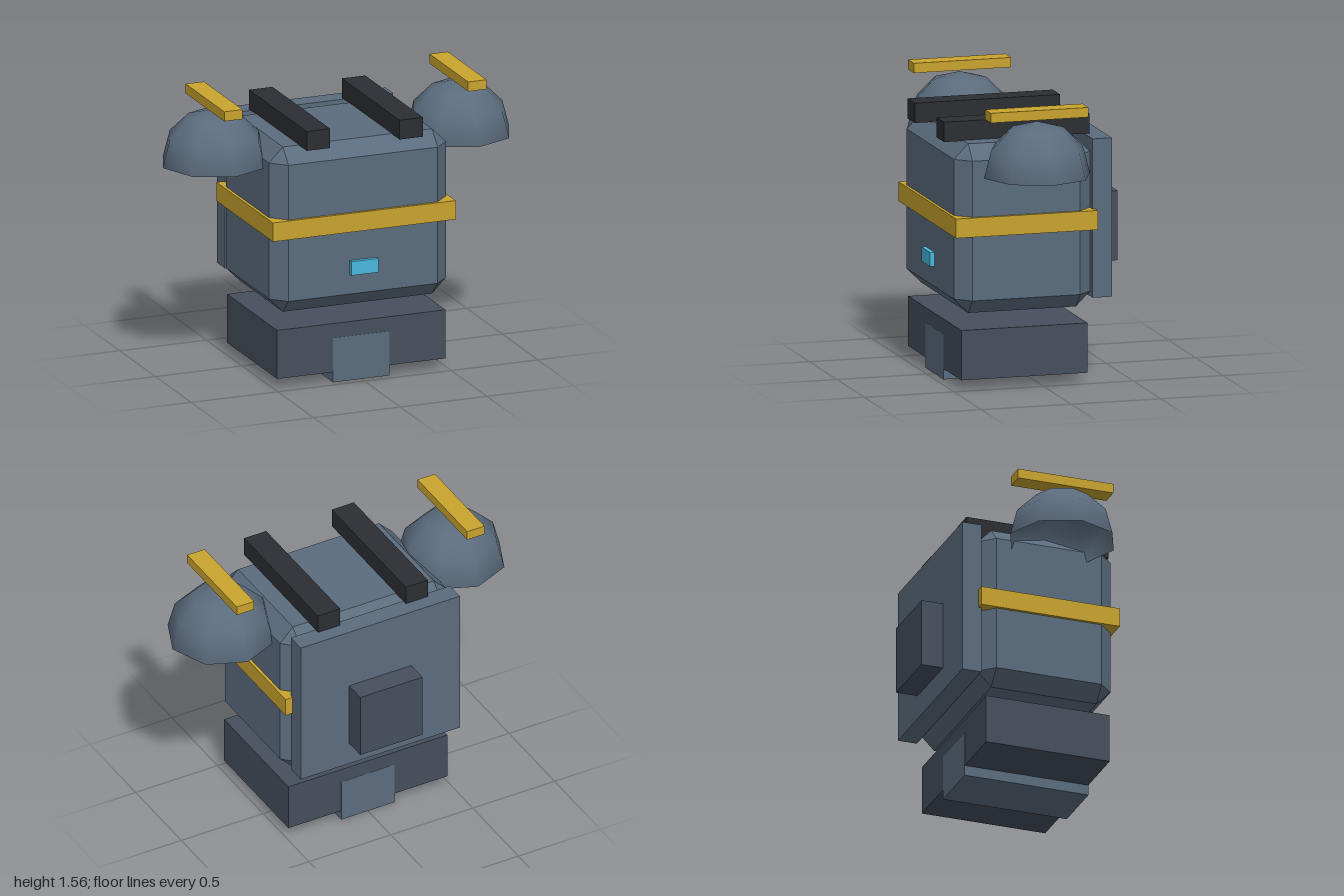
import * as THREE from 'three';
import { ConvexGeometry } from 'three/addons/geometries/ConvexGeometry.js';

const paint = (color, extra = {}) => {
  const m = new THREE.MeshStandardMaterial({ color, ...extra });
  return m;
};

// Box with all edges cut at 45 degrees by c
function chamferedBox(w, h, d, c) {
  const pts = [];
  for (const sx of [-1, 1]) for (const sy of [-1, 1]) for (const sz of [-1, 1]) {
    const x = w / 2, y = h / 2, z = d / 2;
    pts.push(
      new THREE.Vector3(sx * x, sy * (y - c), sz * (z - c)),
      new THREE.Vector3(sx * (x - c), sy * y, sz * (z - c)),
      new THREE.Vector3(sx * (x - c), sy * (y - c), sz * z));
  }
  return new ConvexGeometry(pts);
}

export function createModel() {
  const model = new THREE.Group();
  const armour = paint(0x5b6c7e);
  const shell = paint(0x5b6c7e, { side: THREE.DoubleSide });
  const dark = paint(0x454f5c);
  const black = paint(0x2d2e33);
  const gold = paint(0xc9a42e);
  const cyan = paint(0x4ab8dc);

  function add(name, geometry, material, x, y, z) {
    const mesh = new THREE.Mesh(geometry, material);
    mesh.name = name;
    mesh.position.set(x, y, z);
    model.add(mesh);
    return mesh;
  }
  // Box given by its x, y and z ranges
  function box(name, material, [x0, x1], [y0, y1], [z0, z1]) {
    return add(name, new THREE.BoxGeometry(x1 - x0, y1 - y0, z1 - z0), material,
      (x0 + x1) / 2, (y0 + y1) / 2, (z0 + z1) / 2);
  }

  // Torso with belt and chest light
  add('torso', chamferedBox(1.02, 0.92, 0.76, 0.08), armour, 0, 0.87, 0.1);
  box('chestBand', gold, [-0.527, 0.527], [0.84, 0.945], [-0.293, 0.497]);
  box('chestLight', cyan, [-0.078, 0.078], [0.6, 0.677], [0.46, 0.505]);

  // Back plate and power unit
  box('backPlate', armour, [-0.485, 0.485], [0.463, 1.327], [-0.385, -0.277]);
  box('powerUnit', dark, [-0.19, 0.19], [0.597, 0.975], [-0.507, -0.383]);

  // Hips
  box('pelvis', dark, [-0.485, 0.485], [0.057, 0.328], [-0.249, 0.455]);
  box('crotchPlate', armour, [-0.163, 0.163], [0, 0.247], [-0.25, 0.456]);

  // Mirrored top rails, shoulder domes and dome bars
  const dome = new THREE.SphereGeometry(0.295, 8, 3, 0, Math.PI * 2, 0, Math.PI / 2);
  for (const [side, s] of [['left', 1], ['right', -1]]) {
    const span = (a, b) => (s > 0 ? [a, b] : [-b, -a]);
    box(side + 'TopRail', black, span(0.2, 0.335), [1.327, 1.435], [-0.305, 0.505]);
    add(side + 'ShoulderDome', dome, shell, s * 0.703, 1.193, 0.1);
    box(side + 'ShoulderBar', gold, span(0.65, 0.756), [1.504, 1.557], [-0.17, 0.373]);
  }
  return model;
}
